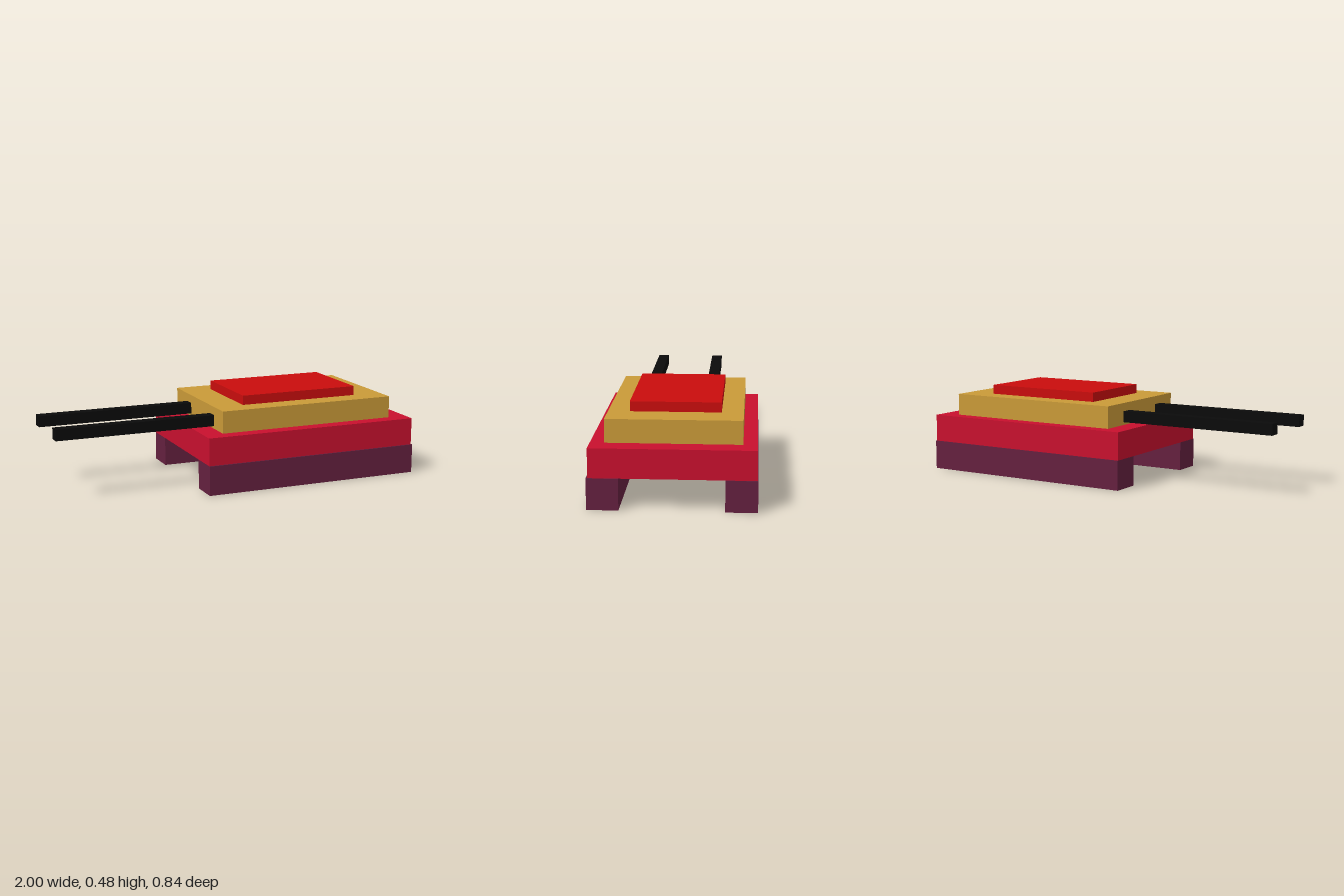
import * as THREE from 'three';

// Box given by its [min, max] extents on each axis
function block(name, color, [x0, x1], [y0, y1], [z0, z1]) {
  const mesh = new THREE.Mesh(
    new THREE.BoxGeometry(x1 - x0, y1 - y0, z1 - z0),
    new THREE.MeshStandardMaterial({ color, flatShading: true })
  );
  mesh.position.set((x0 + x1) / 2, (y0 + y1) / 2, (z0 + z1) / 2);
  mesh.name = name;
  return mesh;
}

export function createModel() {
  const tank = new THREE.Group();
  tank.name = 'tank';

  // Stepped body: hull, turret and hatch
  tank.add(
    block('hull', 0xc8102e, [-0.23, 0.995], [0.16, 0.31], [-0.414, 0.41]),
    block('turret', 0xc99a38, [-0.122, 0.888], [0.31, 0.43], [-0.342, 0.338]),
    block('hatch', 0xc90d0d, [0.042, 0.722], [0.43, 0.481], [-0.231, 0.228])
  );

  // Tracks along both long sides
  tank.add(
    block('frontTrack', 0x64203f, [-0.23, 1], [0, 0.16], [0.26, 0.418]),
    block('backTrack', 0x64203f, [-0.23, 1], [0, 0.16], [-0.418, -0.259])
  );

  // Twin gun barrels, seated slightly into the turret
  [['frontBarrel', 0.187], ['backBarrel', -0.151]].forEach(([name, z]) => {
    tank.add(block(name, 0x0a0a0a, [-1, -0.11], [0.325, 0.385], [z - 0.03, z + 0.03]));
  });

  return tank;
}
